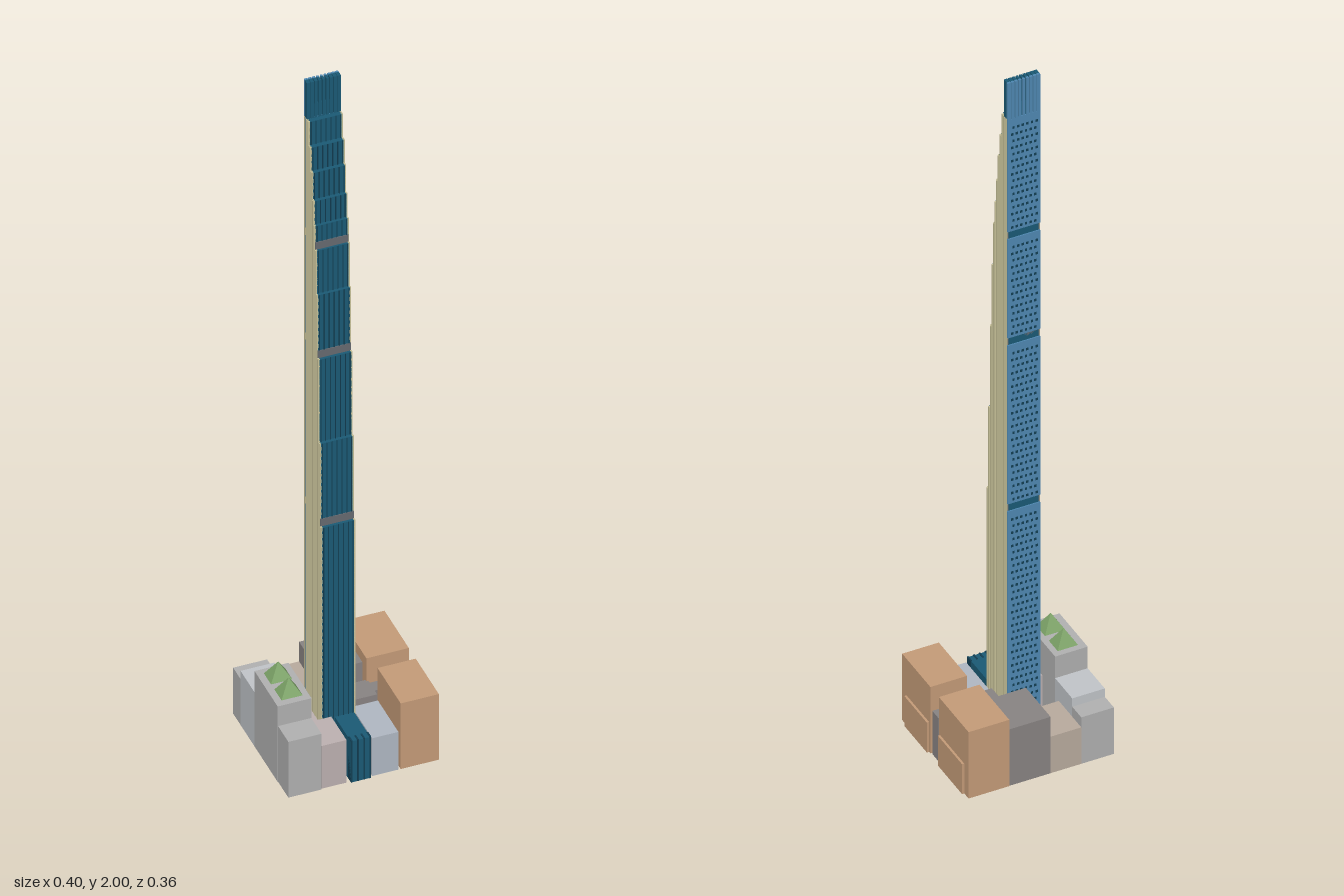
import * as THREE from 'three';
import { mergeGeometries } from 'three/addons/utils/BufferGeometryUtils.js';

const material = (color) => new THREE.MeshStandardMaterial({ color, flatShading: true });
const mats = {
  teal: material(0x1a5a75), darkTeal: material(0x123f54), blue: material(0x4f88b2),
  beige: material(0xc8c299), band: material(0x666a70), grey: material(0xb0b0b0),
  paleGrey: material(0xc0c4c8), darkGrey: material(0x888382), tan: material(0xb8aa9d),
  pink: material(0xbcb0b0), blueGrey: material(0xafb7c2), brown: material(0xc49b78),
  green: material(0x7da468),
};

// Box given by its limits on each axis
function block(x0, x1, y0, y1, z0, z1) {
  return new THREE.BoxGeometry(x1 - x0, y1 - y0, z1 - z0)
    .translate((x0 + x1) / 2, (y0 + y1) / 2, (z0 + z1) / 2);
}

function add(group, name, mat, ...geometries) {
  const mesh = new THREE.Mesh(mergeGeometries(geometries), mats[mat]);
  mesh.name = name;
  group.add(mesh);
}

// Tower limits; each tier is [top height, front z]
const CX = -0.028, HALF = 0.041, BACK = -0.037, FLOOR = 0.02, ROOF = 1.89;
const tiers = [
  [0.71, 0.073], [0.96, 0.064], [1.21, 0.055], [1.4, 0.046], [1.53, 0.038], [1.6, 0.031],
  [1.67, 0.023], [1.75, 0.014], [1.82, 0.004], [ROOF, -0.008],
];
const bandHeights = [0.71, 1.21, 1.53];
const nearBand = (y) => bandHeights.some((b) => y > b - 0.015 && y < b + 0.03);
const frontAt = (y) => (tiers.find(([top]) => y < top - 0.001) ?? [0, -0.02])[1];

function makeTower() {
  const tower = new THREE.Group();
  tower.name = 'tower';
  const slabs = [], mullions = [], pilasters = [], spandrels = [];

  // Stepped glass slabs, with front mullions and side pilasters on each
  tiers.forEach(([top, front], i) => {
    const back = i + 1 < tiers.length ? tiers[i + 1][1] : BACK;
    const start = i ? tiers[i - 1][0] : 0;
    slabs.push(block(CX - HALF, CX + HALF, 0, top, back, front));
    for (const dx of [-0.038, -0.026, -0.013, 0, 0.013, 0.026, 0.038]) {
      mullions.push(block(CX + dx - 0.0012, CX + dx + 0.0012, start, top, front, front + 0.0015));
    }
    for (const side of [-1, 1]) {
      const x = CX + side * (HALF + 0.0015);
      const count = Math.max(1, Math.round((front - back) / 0.008));
      const pitch = (front - back) / count;
      for (let k = 0; k < count; k++) {
        const z = back + (k + 0.5) * pitch;
        pilasters.push(block(x - 0.0025, x + 0.0025, 0, top, z - pitch * 0.3, z + pitch * 0.3));
      }
    }
  });

  // Floor edges on both sides
  for (let y = 0.02; y < ROOF - 0.01; y += FLOOR) {
    for (const side of [-1, 1]) {
      const x = CX + side * (HALF + 0.0005);
      spandrels.push(block(x - 0.001, x + 0.001, y, y + 0.011, -0.02, frontAt(y)));
    }
  }
  add(tower, 'glassTiers', 'teal', ...slabs);
  add(tower, 'frontMullions', 'darkTeal', ...mullions);
  add(tower, 'sidePilasters', 'beige', ...pilasters);
  add(tower, 'sideSpandrels', 'beige', ...spandrels);

  // Blue rear curtain wall, split by the plant floors, with staggered windows
  const rear = [], windows = [];
  [0, ...bandHeights].forEach((b, i) => {
    const y0 = i ? b + 0.022 : 0;
    rear.push(block(CX - HALF - 0.003, CX + HALF + 0.003, y0, bandHeights[i] ?? ROOF, BACK - 0.003, -0.022));
  });
  let row = 0;
  for (let y = 0.02; y < ROOF - 0.02; y += FLOOR, row++) {
    if (nearBand(y)) continue;
    for (let k = 0; k < 6; k++) {
      const x = CX - 0.034 + k * 0.0125 + (row % 2) * 0.004;
      windows.push(block(x - 0.003, x + 0.003, y, y + 0.007, BACK - 0.0038, BACK - 0.002));
    }
  }
  add(tower, 'rearWall', 'blue', ...rear);
  add(tower, 'rearWindows', 'darkTeal', ...windows);

  // Grey plant floors
  add(tower, 'plantFloors', 'band', ...bandHeights.map((b) =>
    block(CX - HALF - 0.002, CX + HALF + 0.002, b, b + 0.022, BACK, frontAt(b) + 0.002)));

  // Open crown of slats, gaps widest in the middle
  const slats = [], rearSlats = [];
  const count = 9;
  for (let k = 0; k < count; k++) {
    const off = (k / (count - 1)) * 2 - 1;
    const x = CX + off * 0.0395, w = 0.0028 + 0.0018 * Math.abs(off);
    slats.push(block(x - w, x + w, ROOF, 2, -0.034, -0.02));
    rearSlats.push(block(x - w, x + w, ROOF, 2, BACK - 0.003, -0.034));
  }
  slats.push(block(CX - HALF, CX + HALF, ROOF, 1.93, -0.034, -0.024));
  add(tower, 'crownSlats', 'teal', ...slats);
  add(tower, 'crownRearSlats', 'blue', ...rearSlats);

  // Low entrance wing
  add(tower, 'entranceWing', 'teal', block(-0.037, 0.013, 0, 0.125, 0.073, 0.178));
  add(tower, 'entranceFins', 'darkTeal', ...[-0.036, -0.02, -0.004, 0.012].map((x) =>
    block(x - 0.001, x + 0.003, 0, 0.127, 0.16, 0.179)));
  return tower;
}

// Neighbouring blocks: name, colour, then limits of each box
const neighbours = [
  ['westRearBlock', 'grey', [-0.2, -0.112, 0, 0.14, -0.179, -0.131]],
  ['westMiddleBlock', 'paleGrey', [-0.2, -0.112, 0, 0.165, -0.131, -0.04]],
  ['westTallBlock', 'grey', [-0.2, -0.112, 0, 0.23, -0.04, 0.11]],
  ['westFrontBlock', 'grey', [-0.199, -0.113, 0, 0.17, 0.11, 0.177]],
  ['rearTanBlock', 'tan', [-0.112, -0.029, 0, 0.11, -0.179, -0.06]],
  ['rearDarkBlock', 'darkGrey', [-0.029, 0.083, 0, 0.17, -0.179, -0.048]],
  ['eastRearBlock', 'brown', [0.083, 0.193, 0, 0.2, -0.18, -0.022], [0.193, 0.199, 0, 0.09, -0.157, -0.029]],
  ['eastFrontBlock', 'brown', [0.094, 0.193, 0, 0.2, 0.023, 0.173], [0.193, 0.199, 0, 0.09, 0.03, 0.15]],
  ['eastPassage', 'darkGrey', [0.021, 0.088, 0, 0.13, -0.028, 0.035], [0.088, 0.19, 0, 0.13, -0.014, 0.019]],
  ['frontBlueGreyBlock', 'blueGrey', [0.02, 0.088, 0, 0.115, 0.04, 0.173]],
  ['frontPinkBlock', 'pink', [-0.111, -0.047, 0, 0.13, 0.075, 0.174],
    [-0.111, -0.082, 0, 0.13, 0.026, 0.075], [-0.047, -0.041, 0, 0.07, 0.075, 0.15]],
];

export function createModel() {
  const model = new THREE.Group();
  model.name = 'skyscraperBlock';
  model.add(makeTower());

  const city = new THREE.Group();
  city.name = 'neighbouringBuildings';
  for (const [name, mat, ...boxes] of neighbours) {
    add(city, name, mat, ...boxes.map((b) => block(...b)));
  }

  // Green pyramid roofs
  for (const z of [0, 0.068]) {
    const pyramid = new THREE.ConeGeometry(Math.SQRT1_2, 1, 4, 1)
      .rotateY(Math.PI / 4).scale(0.055, 0.045, 0.047).translate(-0.155, 0.2525, z);
    add(city, 'pyramidRoof', 'green', pyramid);
  }
  model.add(city);
  return model;
}
